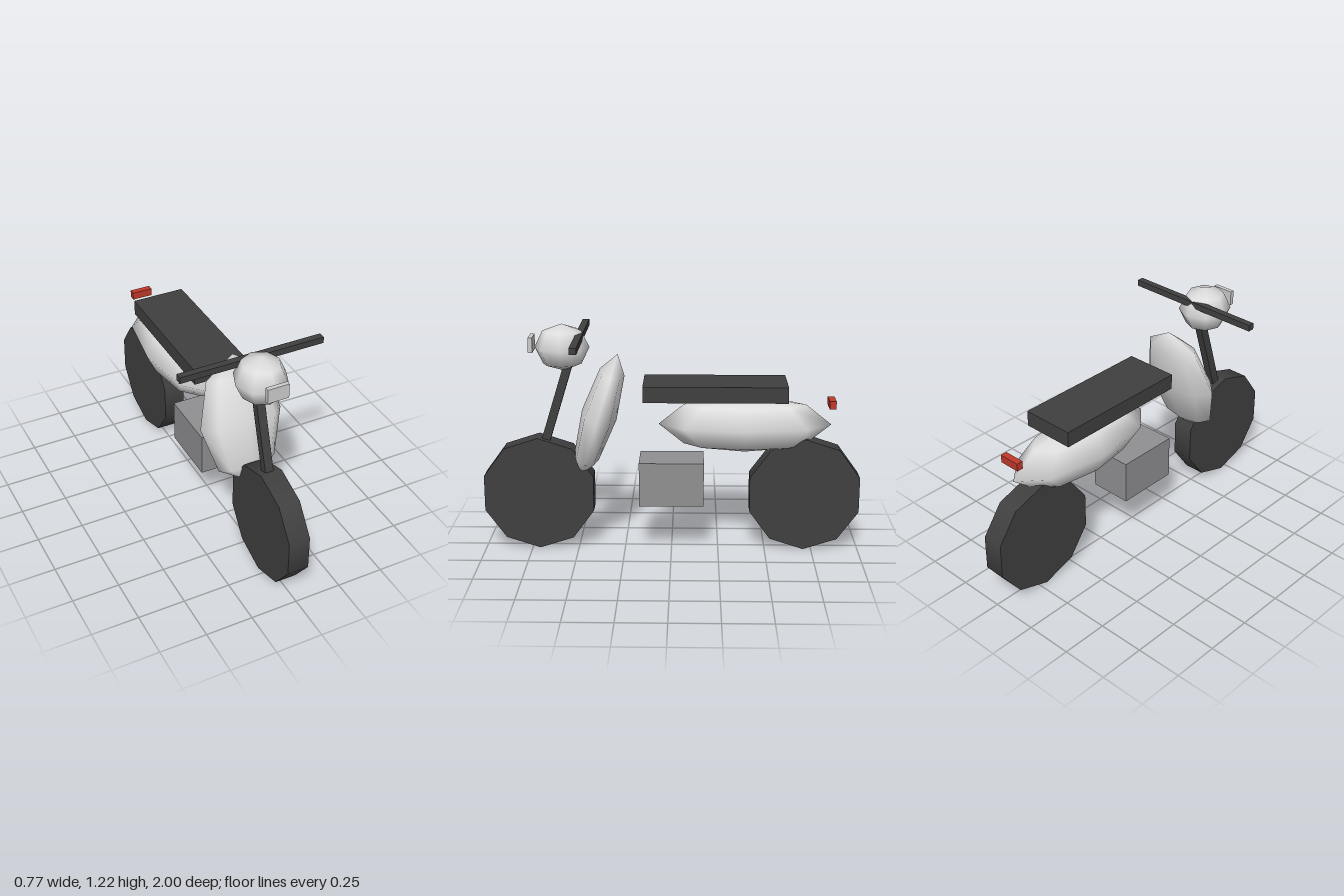
import * as THREE from 'three';

const material = (name, color) => {
  const m = new THREE.MeshStandardMaterial({ color });
  m.name = name;
  return m;
};

export function createModel() {
  const scooter = new THREE.Group();
  scooter.name = 'scooter';

  const dark = material('dark rubber', 0x404040);
  const paint = material('body paint', 0xdddddd);
  const metal = material('engine grey', 0x909092);
  const lens = material('lamp lens', 0xcccccc);
  const red = material('tail red', 0xc0392b);

  const add = (name, geometry, mat, position, tilt = 0) => {
    const mesh = new THREE.Mesh(geometry, mat);
    mesh.name = name;
    mesh.position.set(...position);
    mesh.rotation.x = tilt;
    scooter.add(mesh);
    return mesh;
  };
  const box = (name, size, mat, position, tilt) =>
    add(name, new THREE.BoxGeometry(...size), mat, position, tilt);
  // Smooth-shaded low-poly ellipsoid given by its three radii
  const shell = (name, radii, position, tilt) =>
    add(name, new THREE.SphereGeometry(1, 8, 4), paint, position, tilt).scale.set(...radii);

  // Ten-sided wheels with a corner pointing straight up
  const tyre = new THREE.CylinderGeometry(0.307, 0.307, 0.114, 10, 1, false, Math.PI / 2);
  tyre.rotateZ(Math.PI / 2);
  add('frontWheel', tyre, dark, [0, 0.308, 0.708]);
  add('rearWheel', tyre, dark, [0, 0.308, -0.708]);

  // Painted bodywork
  shell('rearBody', [0.17, 0.152, 0.456], [0, 0.684, -0.387]);
  shell('legShield', [0.227, 0.344, 0.095], [0, 0.731, 0.383], -0.3);
  shell('headlampHousing', [0.136, 0.123, 0.143], [0, 1.096, 0.571]);

  // Steering
  box('steeringColumn', [0.045, 0.56, 0.045], dark, [0, 0.794, 0.606], -0.3);
  box('handlebar', [0.774, 0.034, 0.036], dark, [0, 1.154, 0.478]);

  // Seat and engine
  box('seat', [0.286, 0.084, 0.752], dark, [0, 0.875, -0.228]);
  box('engine', [0.23, 0.237, 0.342], metal, [0, 0.379, 0]);

  // Lamps
  box('headlampLens', [0.114, 0.078, 0.023], lens, [0, 1.115, 0.731]);
  box('tailLamp', [0.114, 0.042, 0.035], red, [0, 0.802, -0.843]);

  return scooter;
}
